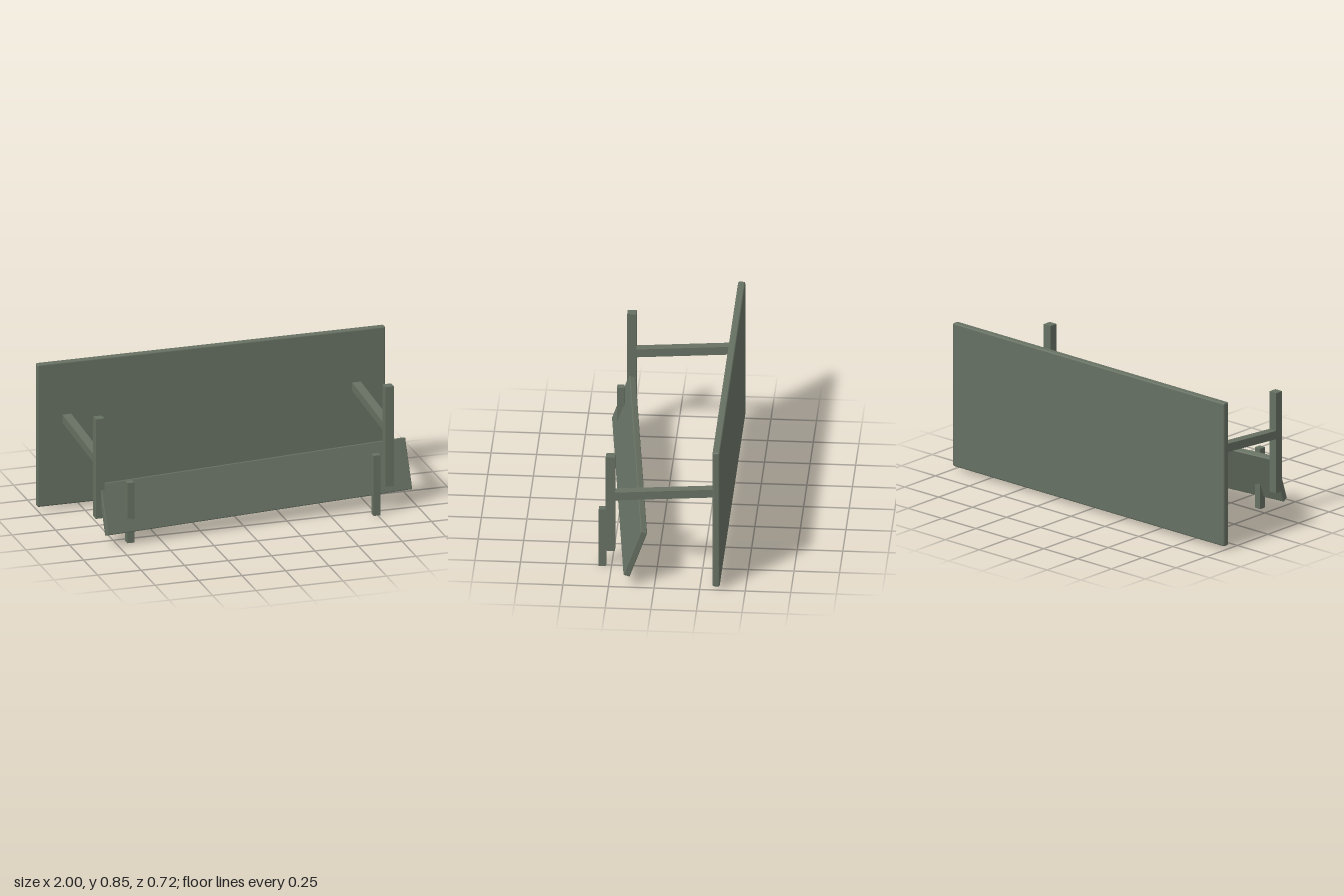
import * as THREE from 'three';
import { RoundedBoxGeometry } from 'three/addons/geometries/RoundedBoxGeometry.js';

export function createModel() {
  const model = new THREE.Group();
  const paint = new THREE.MeshStandardMaterial({ color: 0x667062 });
  paint.name = 'greyGreen';

  const add = (name, geometry, x, y, z) => {
    const mesh = new THREE.Mesh(geometry, paint);
    mesh.name = name;
    mesh.position.set(x, y, z);
    model.add(mesh);
    return mesh;
  };

  // Upright panel at the back, with softened edges
  add('backPanel', new RoundedBoxGeometry(2, 0.83, 0.04, 2, 0.009), 0, 0.435, -0.34);

  // Posts, each tied to the panel by a sloping arm
  const armFront = new THREE.Vector2(0.24, 0.482);
  const armBack = new THREE.Vector2(-0.33, 0.522);
  const span = armFront.clone().sub(armBack);
  const middle = armFront.clone().add(armBack).multiplyScalar(0.5);
  for (const [side, x] of [['right', -0.832], ['left', 0.832]]) {
    add(side + 'Post', new THREE.BoxGeometry(0.05, 0.58, 0.05), x, 0.435, 0.25);
    const arm = add(side + 'Arm', new THREE.BoxGeometry(0.05, 0.048, span.length()), x, middle.y, middle.x);
    arm.rotation.x = -Math.atan2(span.y, span.x);
  }

  // Short stakes in front
  for (const [side, x] of [['right', -0.67], ['left', 0.745]]) {
    add(side + 'Stake', new THREE.BoxGeometry(0.04, 0.35, 0.04), x, 0.175, 0.3);
  }

  // Fallen plank, leaning back and turned askew
  const plank = add('leaningPlank', new RoundedBoxGeometry(1.825, 0.287, 0.037, 2, 0.005), 0.083, 0.202, 0.199);
  plank.rotation.set(-0.345, 0.105, 0, 'YXZ');

  return model;
}
